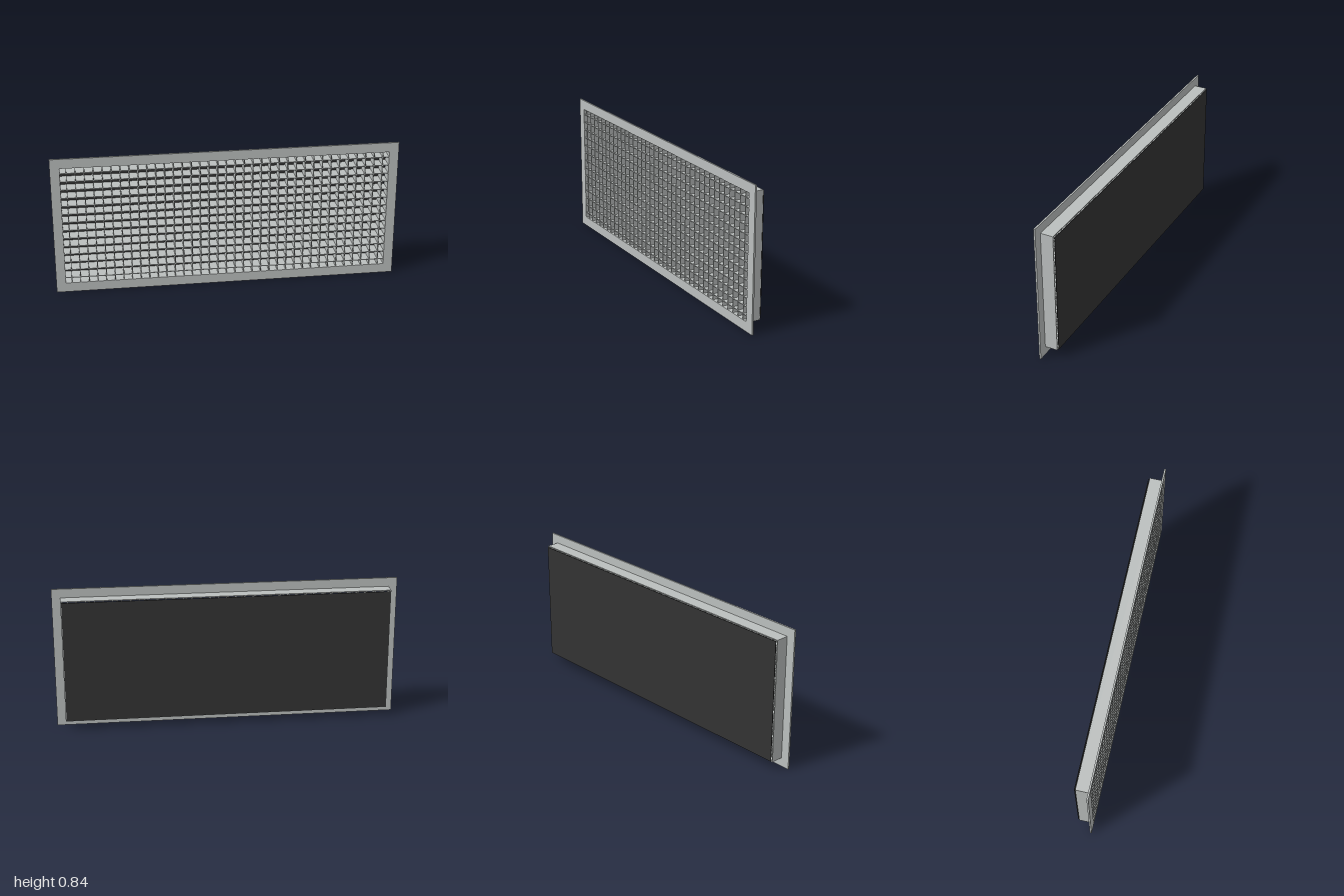
import * as THREE from 'three';

const H = 0.836, CY = H / 2;       // overall height and centre line
const OPEN_W = 1.89, OPEN_H = 0.722; // clear opening
const PITCH = 0.0505;

// Rectangular ring from z0 to z1
function ring(w, h, holeW, holeH, z0, z1) {
  const rect = (Type, a, b) => new Type([
    new THREE.Vector2(-a / 2, -b / 2), new THREE.Vector2(a / 2, -b / 2),
    new THREE.Vector2(a / 2, b / 2), new THREE.Vector2(-a / 2, b / 2),
  ]);
  const shape = rect(THREE.Shape, w, h);
  shape.holes.push(rect(THREE.Path, holeW, holeH));
  const g = new THREE.ExtrudeGeometry(shape, { depth: z1 - z0, bevelEnabled: false });
  return g.translate(0, CY, z0);
}

export function createModel() {
  const metal = new THREE.MeshStandardMaterial({ color: 0xbbbfbe });
  metal.name = 'pale grey metal';
  const dark = new THREE.MeshStandardMaterial({ color: 0x333333 });
  dark.name = 'charcoal backing';

  const model = new THREE.Group();
  model.name = 'ventGrille';
  const add = (parent, name, geometry, material) => {
    const mesh = new THREE.Mesh(geometry, material);
    mesh.name = name;
    parent.add(mesh);
    return mesh;
  };

  // Front flange and the duct collar behind it
  add(model, 'flange', ring(2, H, OPEN_W, OPEN_H, 0.036, 0.046), metal);
  add(model, 'collar', ring(1.9, 0.732, OPEN_W, OPEN_H, -0.038, 0.036), metal);

  // Egg-crate core of crossing blades
  const core = new THREE.Group();
  core.name = 'eggCrateCore';
  model.add(core);
  const thick = 0.004, z0 = -0.038, z1 = 0.044;
  const depth = z1 - z0, zMid = (z0 + z1) / 2;
  const upright = new THREE.BoxGeometry(thick, OPEN_H, depth);
  const level = new THREE.BoxGeometry(OPEN_W, thick, depth - 0.0004);
  for (let i = -18; i <= 18; i++) {
    add(core, 'verticalBlade', upright, metal).position.set(i * PITCH, CY, zMid);
  }
  for (let j = -6.5; j <= 6.5; j++) {
    add(core, 'horizontalBlade', level, metal).position.set(0, CY + j * PITCH, zMid);
  }

  // Thin dark sheet set just behind the collar
  add(model, 'backSheet', new THREE.BoxGeometry(1.89, 0.72, 0.003), dark)
    .position.set(0, CY, -0.0445);

  return model;
}
